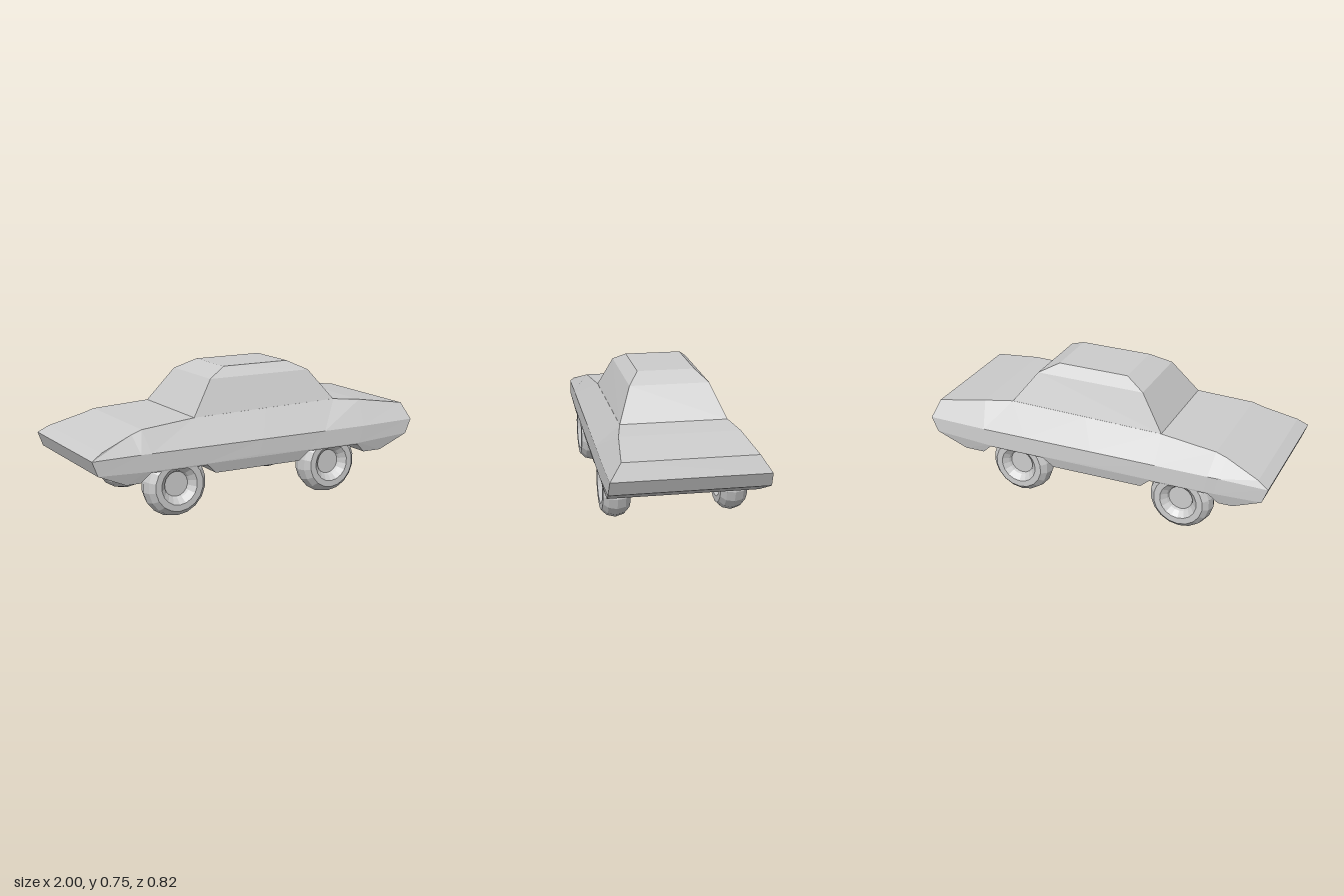
import * as THREE from 'three';

const grey = new THREE.MeshStandardMaterial({ color: 0xcccccc, flatShading: true });

function addMesh(parent, name, geometry) {
  const mesh = new THREE.Mesh(geometry, grey);
  mesh.name = name;
  parent.add(mesh);
  return mesh;
}

// Skin a series of cross-sections (clockwise seen from the last one) and cap both ends.
function loft(rings) {
  const pos = [];
  const quad = (a, b, c, d) => pos.push(...a, ...b, ...c, ...a, ...c, ...d);
  const n = rings[0].length;
  for (let r = 0; r + 1 < rings.length; r++) {
    const a = rings[r], b = rings[r + 1];
    for (let i = 0; i < n; i++) {
      const j = (i + 1) % n;
      quad(a[i], b[i], b[j], a[j]);
    }
  }
  const first = rings[0], last = rings[rings.length - 1];
  for (let i = 0; i < n / 2 - 1; i++) {
    quad(first[i], first[i + 1], first[n - 2 - i], first[n - 1 - i]);
    quad(last[n - 1 - i], last[n - 2 - i], last[i + 1], last[i]);
  }
  const g = new THREE.BufferGeometry();
  g.setAttribute('position', new THREE.Float32BufferAttribute(pos, 3));
  g.computeVertexNormals();
  return g;
}

const wheelXs = [-0.51, 0.455];
const wellInner = 0.22;

// Half sections along the car: sill, belt line and deck edge as [x, y, z].
const stations = [
  [[-0.97, 0.29, 0.39], [-1, 0.37, 0.388], [-0.94, 0.405, 0.37]],
  [[-0.71, 0.28, 0.393], [-0.73, 0.373, 0.39], [-0.75, 0.468, 0.319]],
  [[-0.65, 0.28, 0.394], [-0.67, 0.373, 0.391], [-0.69, 0.487, 0.315]],
  [[-0.37, 0.28, 0.397], [-0.37, 0.373, 0.394], [-0.37, 0.51, 0.288]],
  [[-0.03, 0.292, 0.401], [0, 0.373, 0.397], [0.08, 0.518, 0.288]],
  [[0.3, 0.28, 0.405], [0.4, 0.373, 0.401], [0.53, 0.525, 0.288]],
  [[0.63, 0.28, 0.41], [0.66, 0.374, 0.405], [0.69, 0.511, 0.318]],
  [[0.96, 0.3, 0.412], [1, 0.38, 0.407], [0.97, 0.47, 0.347]],
];

function upperBody() {
  return loft(stations.map((half) =>
    [...half, ...half.map(([x, y, z]) => [x, y, -z]).reverse()]));
}

function cabin() {
  // each level: rear x, front x, y at each end, half width
  const levels = [
    [-0.37, 0.53, 0.508, 0.523, 0.288],
    [-0.23, 0.4, 0.695, 0.695, 0.215],
    [-0.115, 0.295, 0.747, 0.747, 0.156],
  ];
  return loft(levels.map(([x0, x1, y0, y1, w]) =>
    [[x0, y0, w], [x0, y0, -w], [x1, y1, -w], [x1, y1, w]]));
}

// Side outline of the lower body, with optional notches for the wheels.
function lowerBody(notched, z0, z1) {
  const outline = [[-0.97, 0.29], [-0.81, 0.22]];
  if (notched) for (const x of wheelXs) {
    outline.push([Math.max(x - 0.22, -0.8), 0.22], [x - 0.165, 0.272], [x + 0.165, 0.272], [x + 0.22, 0.22]);
  }
  outline.push([0.79, 0.22]);
  for (const [s] of [...stations].reverse().slice(0, -1)) outline.push([s[0], s[1]]);
  const shape = new THREE.Shape(outline.map(([x, y]) => new THREE.Vector2(x, y)));
  const g = new THREE.ExtrudeGeometry(shape, { depth: 1, bevelEnabled: false });
  const p = g.attributes.position;
  for (let i = 0; i < p.count; i++) {
    const f = p.getZ(i) > 0.5 ? z1 : z0;
    p.setZ(i, f(p.getX(i), p.getY(i)));
  }
  g.computeVertexNormals();
  return g;
}

// The lower flank tucks in below the sill and follows the slight taper of the car.
const flank = (x, y) => 0.401 + 0.0115 * x - 0.25 * Math.max(0, 0.28 - y);

function wheelGeometry() {
  const half = [[0, 0.03], [0.068, 0.03], [0.075, 0.045], [0.105, 0.073], [0.14, 0.073], [0.168, 0.045], [0.18, 0]];
  const profile = [...half, ...half.slice(0, -1).reverse().map(([r, a]) => [r, -a])];
  const g = new THREE.LatheGeometry(profile.reverse().map(([r, a]) => new THREE.Vector2(r, a)), 18);
  return g.rotateX(Math.PI / 2);
}

export function createModel() {
  const car = new THREE.Group();
  car.name = 'car';

  addMesh(car, 'upperBody', upperBody());
  addMesh(car, 'cabin', cabin());

  // Lower body: plain floor in the middle, notched flanks either side
  const inner = () => wellInner;
  addMesh(car, 'floor', lowerBody(false, () => -wellInner, inner));
  addMesh(car, 'flankFront', lowerBody(true, inner, flank));
  addMesh(car, 'flankBack', lowerBody(true, (x, y) => -flank(x, y), () => -wellInner));

  // Wheels
  const wheel = wheelGeometry();
  for (const x of wheelXs) for (const side of [1, -1]) {
    addMesh(car, 'wheel', wheel).position.set(x, 0.18, side * 0.315);
  }
  return car;
}
